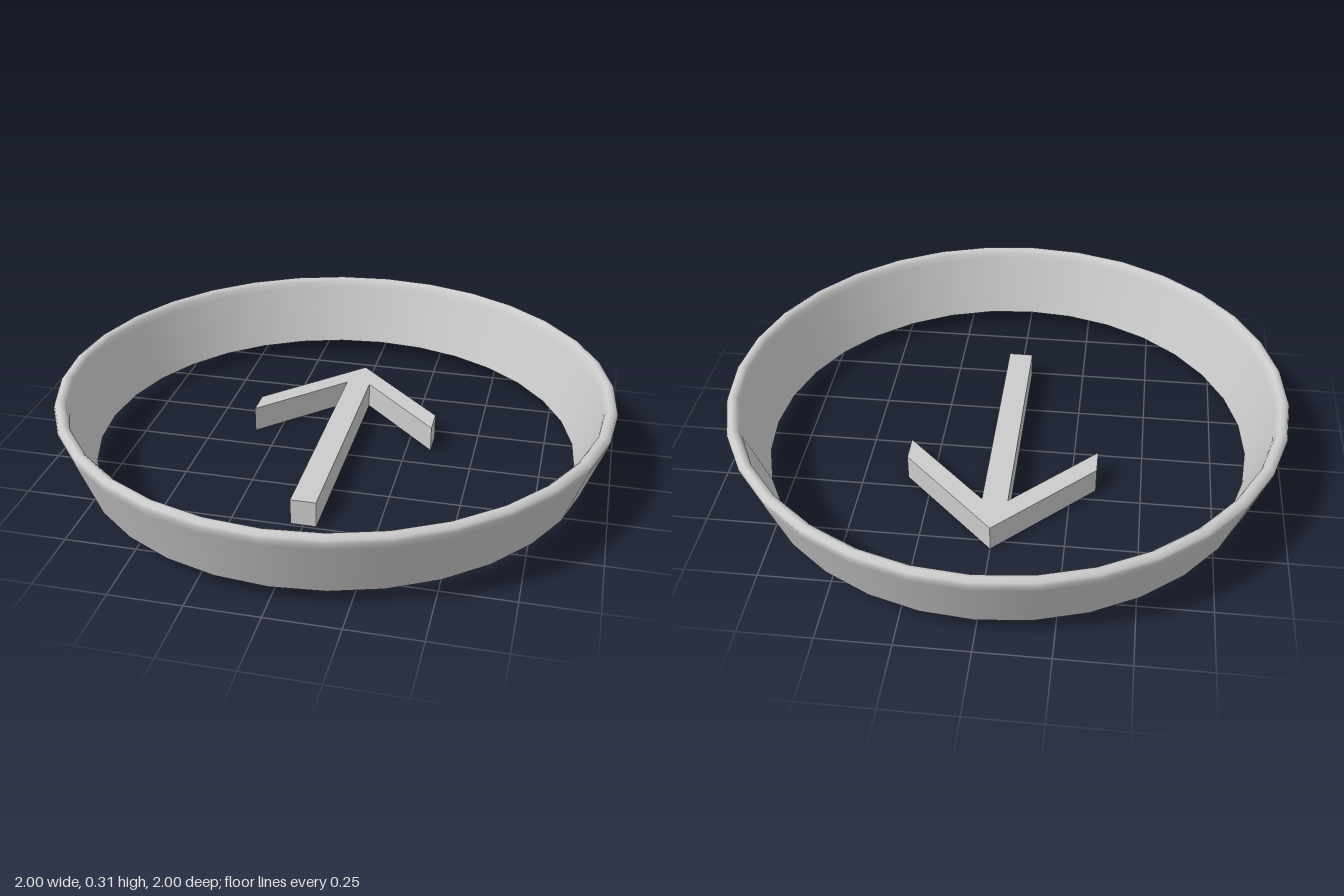
import * as THREE from 'three';

const SIDES = 32;
const grey = new THREE.MeshStandardMaterial({ color: 0xcccccc });

// Turned surface from [radius, height] pairs
function turned(name, points) {
  const profile = points.map(([r, y]) => new THREE.Vector2(r, y));
  const mesh = new THREE.Mesh(new THREE.LatheGeometry(profile, SIDES), grey);
  mesh.name = name;
  return mesh;
}

export function createModel() {
  const model = new THREE.Group();
  model.name = 'ringWithArrow';

  // Flared ring: outer wall, rounded rim, inner wall, and a crisp flat underside
  const ring = new THREE.Group();
  ring.name = 'ring';
  ring.add(
    turned('ringWall', [
      [0.918, 0.055], [0.993, 0.26], [1, 0.283], [0.996, 0.296], [0.982, 0.305],
      [0.968, 0.303], [0.957, 0.293], [0.949, 0.272], [0.87, 0.055],
    ]),
    turned('ringUnderside', [[0.87, 0.055], [0.918, 0.055]]),
  );
  model.add(ring);

  // Flat arrow pointing to the back; right half outline from tip to tail, then mirrored
  const half = [[0.34, 0.2], [0.34, 0.1], [0.045, 0.395], [0.045, -0.49]];
  const mirrored = half.map(([x, y]) => [-x, y]).reverse();
  const outline = [[0, 0.54], ...half, ...mirrored].map(([x, y]) => new THREE.Vector2(x, y));
  const arrowGeometry = new THREE.ExtrudeGeometry(new THREE.Shape(outline), {
    depth: 0.095,
    bevelEnabled: false,
  });
  arrowGeometry.rotateX(-Math.PI / 2);
  const arrow = new THREE.Mesh(arrowGeometry, grey);
  arrow.name = 'arrow';
  model.add(arrow);

  return model;
}
